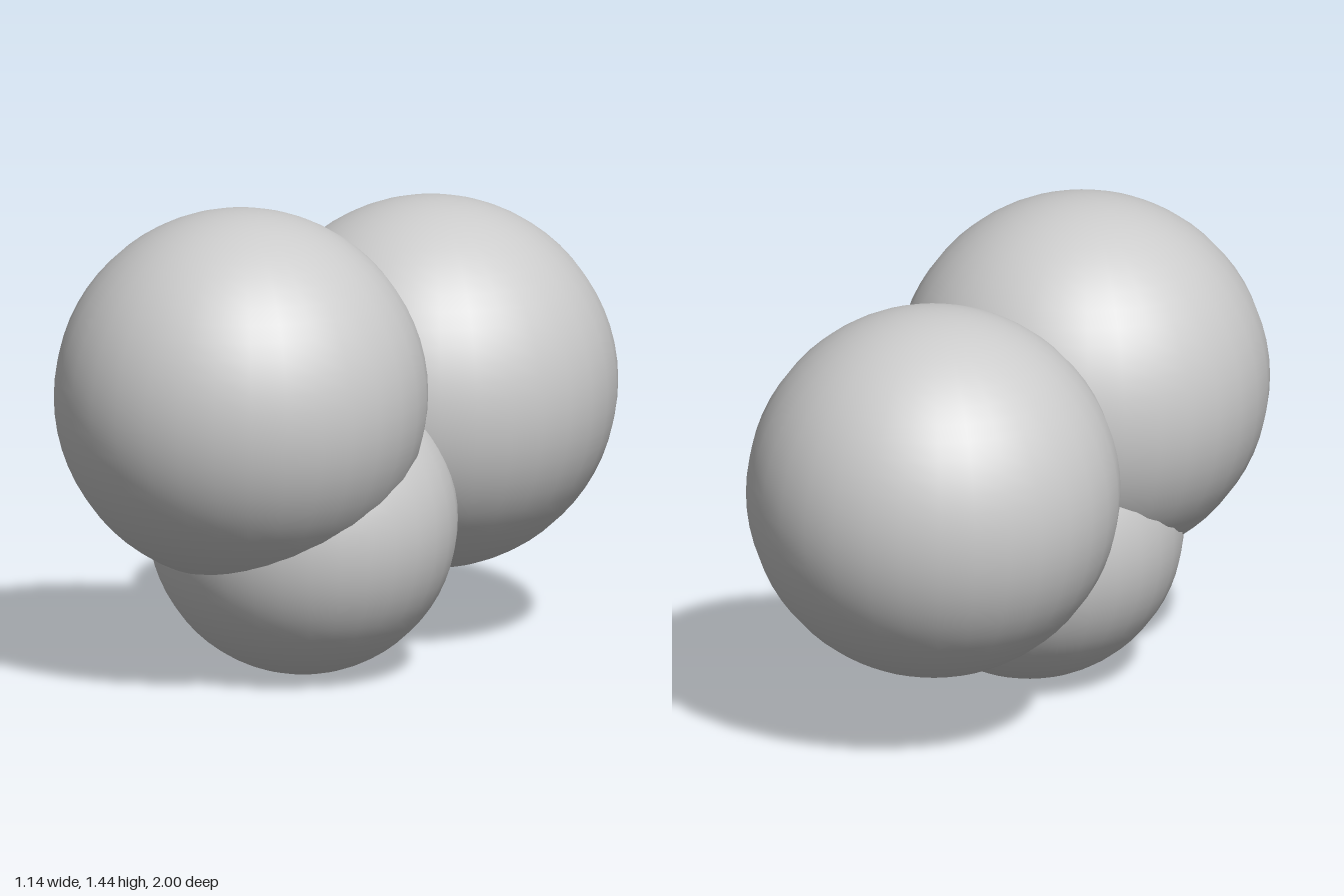
import * as THREE from 'three';

export function createModel() {
  const group = new THREE.Group();
  const material = new THREE.MeshStandardMaterial({ color: 0xcccccc });

  // Three overlapping smooth balls: name, radius, centre
  const balls = [
    ['frontBall', 0.564, [0.005, 0.88, 0.436]],
    ['backBall', 0.564, [-0.01, 0.777, -0.436]],
    ['lowerBall', 0.467, [0.057, 0.467, 0.215]],
  ];

  for (const [name, radius, centre] of balls) {
    const ball = new THREE.Mesh(new THREE.SphereGeometry(radius, 32, 32), material);
    ball.name = name;
    ball.position.set(...centre);
    group.add(ball);
  }
  return group;
}
